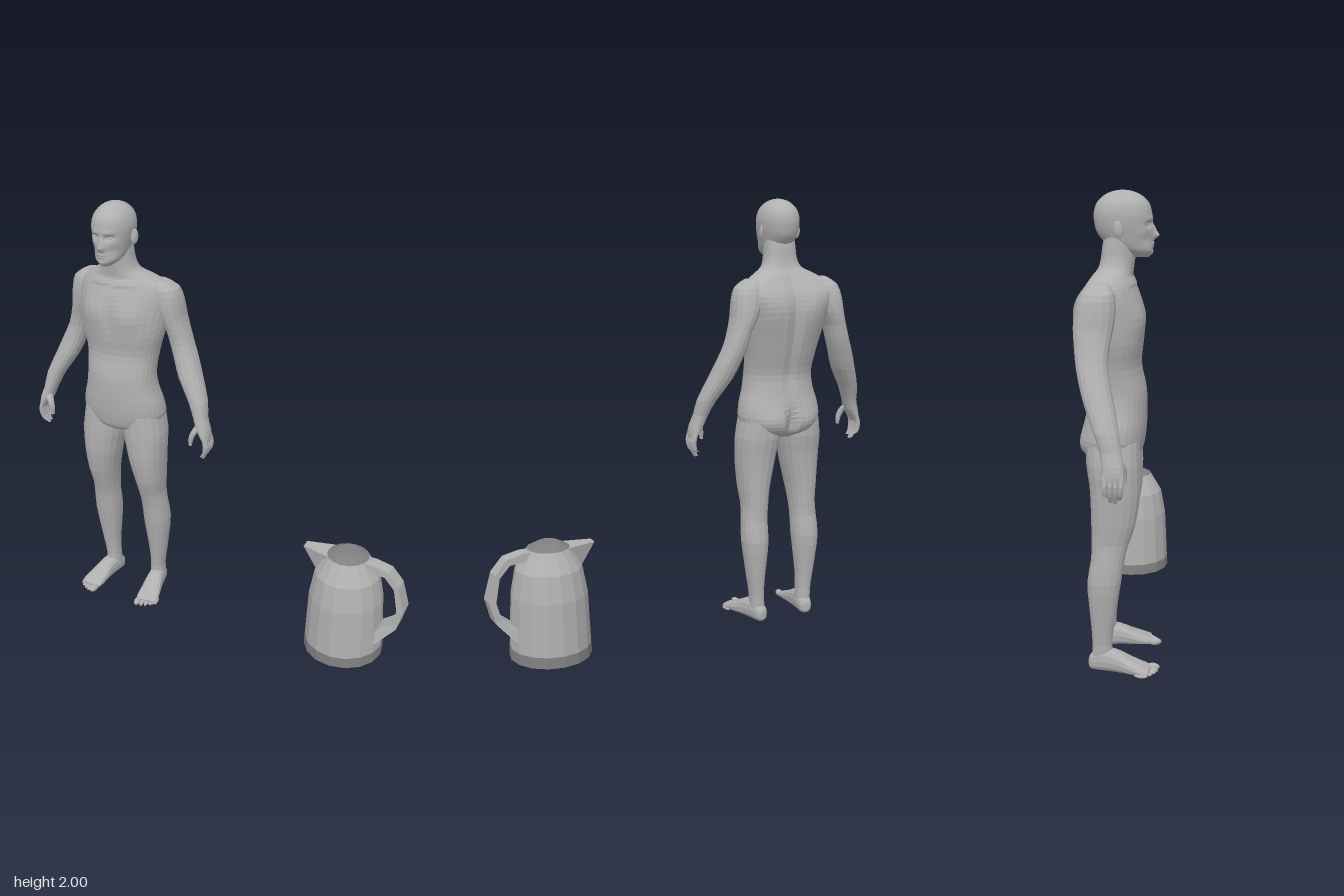
import * as THREE from 'three';
import { ConvexGeometry } from 'three/addons/geometries/ConvexGeometry.js';

const material = (name, color) => Object.assign(new THREE.MeshStandardMaterial({ color }), { name });
const skin = material('body grey', 0xb0b0b0);
const shell = material('kettle grey', 0xb0b0b0);
const trim = material('dark trim grey', 0x808080);

// Faceted mesh
function part(name, geometry, mat) {
  const g = geometry.index ? geometry.toNonIndexed() : geometry;
  g.computeVertexNormals();
  const mesh = new THREE.Mesh(g, mat);
  mesh.name = name;
  return mesh;
}

// Closed skin through sections [x, y, z, rx, rz], smoothed between them
function loft(sections, sides = 16, steps = 2, power = 2.2) {
  const s = sections[0][1] > sections.at(-1)[1] ? [...sections].reverse() : sections;
  const rows = [];
  for (let i = 0; i < s.length - 1; i++) {
    const [a, b, c, d] = [s[Math.max(i - 1, 0)], s[i], s[i + 1], s[Math.min(i + 2, s.length - 1)]];
    for (let k = 0; k < steps; k++) {
      const t = k / steps;
      rows.push(b.map((v, n) => v + 0.5 * t * (c[n] - a[n] + t * (2 * a[n] - 5 * v + 4 * c[n] - d[n]
        + t * (3 * (v - c[n]) + d[n] - a[n])))));
    }
  }
  rows.push(s.at(-1));
  const cap = r => [r[0], r[1], r[2], 0, 0];
  rows.unshift(cap(rows[0]));
  rows.push(cap(rows.at(-1)));
  const pos = [], index = [];
  const round = v => Math.sign(v) * Math.abs(v) ** (2 / power);
  rows.forEach(([x, y, z, rx, rz], i) => {
    for (let j = 0; j < sides; j++) {
      const a = (j / sides) * Math.PI * 2;
      pos.push(x + Math.max(rx, 0) * round(Math.cos(a)), y, z + Math.max(rz, 0) * round(Math.sin(a)));
      if (i === rows.length - 1) continue;
      const p = i * sides + j, q = i * sides + (j + 1) % sides;
      index.push(p, p + sides, q, q, p + sides, q + sides);
    }
  });
  const g = new THREE.BufferGeometry();
  g.setAttribute('position', new THREE.Float32BufferAttribute(pos, 3));
  g.setIndex(index);
  return g;
}

// Push the front (side 1) or back (side -1) out or in: [x, y, side, width, height, amount], mirrored in x
function sculpt(g, bumps) {
  const p = g.attributes.position;
  for (let i = 0; i < p.count; i++) {
    const x = p.getX(i), y = p.getY(i), z = p.getZ(i);
    let dz = 0;
    for (const [bx, by, side, w, h, amount] of bumps) {
      const facing = THREE.MathUtils.clamp(side * (z + 0.02) / 0.06, 0, 1);
      dz += side * amount * facing * Math.exp(-(((Math.abs(x) - bx) / w) ** 2) - ((y - by) / h) ** 2);
    }
    p.setZ(i, z + dz);
  }
  return g;
}

function ball(name, x, y, z, rx, ry, rz) {
  return part(name, new THREE.SphereGeometry(1, 12, 8).scale(rx, ry, rz).translate(x, y, z), skin);
}

function torso() {
  const g = loft([
    [0, 0.895, -0.02, 0.05, 0.06], [0, 0.93, -0.02, 0.15, 0.115], [0, 0.98, -0.018, 0.2, 0.13],
    [0, 1.05, -0.01, 0.198, 0.13], [0, 1.12, -0.002, 0.178, 0.124], [0, 1.2, 0, 0.168, 0.118],
    [0, 1.3, -0.022, 0.178, 0.12], [0, 1.4, -0.027, 0.203, 0.134], [0, 1.5, -0.03, 0.22, 0.138],
    [0, 1.57, -0.03, 0.235, 0.125], [0, 1.62, -0.025, 0.215, 0.102], [0, 1.66, -0.02, 0.155, 0.083],
    [0, 1.69, -0.008, 0.1, 0.073], [0, 1.73, 0, 0.08, 0.07], [0, 1.78, 0.005, 0.075, 0.068],
    [0, 1.84, 0.01, 0.07, 0.06]], 32, 3);
  sculpt(g, [
    [0.1, 1.49, 1, 0.07, 0.06, 0.012], [0, 1.48, 1, 0.02, 0.08, -0.008], // chest
    [0.1, 1.5, -1, 0.07, 0.1, 0.012], [0, 1.38, -1, 0.025, 0.25, -0.016], // shoulder blades, spine
    [0.09, 0.98, -1, 0.07, 0.06, 0.014], [0, 0.96, -1, 0.02, 0.07, -0.03], // seat
    [0.06, 1.64, 1, 0.05, 0.01, 0.008]]); // collar bones
  // Shoulders sweep backwards
  const p = g.attributes.position;
  for (let i = 0; i < p.count; i++) {
    p.setZ(i, p.getZ(i) - p.getX(i) ** 2 * THREE.MathUtils.smoothstep(p.getY(i), 1.35, 1.6));
  }
  return part('torso', g, skin);
}

function head() {
  const group = new THREE.Group();
  group.name = 'head';
  const g = loft([
    [0, 1.735, 0.09, 0.025, 0.035], [0, 1.76, 0.07, 0.055, 0.07], [0, 1.79, 0.045, 0.07, 0.094],
    [0, 1.83, 0.03, 0.081, 0.113], [0, 1.87, 0.022, 0.089, 0.117], [0, 1.91, 0.02, 0.091, 0.117],
    [0, 1.95, 0.02, 0.08, 0.104], [0, 1.98, 0.02, 0.055, 0.072], [0, 1.995, 0.02, 0.027, 0.036],
    [0, 2, 0.02, 0.002, 0.002]], 48, 5, 2.1);
  sculpt(g, [
    [0, 1.82, 1, 0.014, 0.014, 0.022], [0, 1.845, 1, 0.01, 0.02, 0.011], // nose
    [0.035, 1.865, 1, 0.018, 0.012, -0.014], [0.03, 1.888, 1, 0.025, 0.009, 0.005], // eye sockets, brows
    [0, 1.79, 1, 0.024, 0.006, 0.008], [0, 1.779, 1, 0.02, 0.005, 0.006], // lips
    [0, 1.75, 1, 0.02, 0.01, 0.006], [0.05, 1.81, 1, 0.02, 0.02, -0.006]]); // chin, cheeks
  group.add(part('skull', g, skin));
  for (const s of [1, -1]) {
    group.add(ball('eye', s * 0.034, 1.865, 0.109, 0.014, 0.011, 0.014));
    const ear = ball('ear', 0, 0, 0, 0.009, 0.034, 0.02);
    ear.position.set(s * 0.094, 1.85, 0.008);
    ear.rotation.set(-0.15, -s * 0.35, 0);
    group.add(ear);
  }
  return group;
}

function arm(s) {
  const group = new THREE.Group();
  group.name = s > 0 ? 'leftArm' : 'rightArm';
  const limb = (name, rows, sides, steps) =>
    group.add(part(name, loft(rows.map(([x, ...r]) => [s * x, ...r]), sides, steps), skin));
  limb('armAndPalm', [
    [0.18, 1.645, -0.06, 0.03, 0.035], [0.2, 1.61, -0.068, 0.063, 0.066], [0.212, 1.55, -0.075, 0.069, 0.08],
    [0.23, 1.48, -0.082, 0.058, 0.08], [0.252, 1.42, -0.086, 0.05, 0.071], [0.273, 1.35, -0.086, 0.052, 0.064],
    [0.3, 1.28, -0.074, 0.055, 0.062], [0.333, 1.2, -0.053, 0.055, 0.06], [0.385, 1.1, -0.023, 0.043, 0.05],
    [0.407, 1.03, -0.004, 0.032, 0.042], [0.425, 0.98, 0.005, 0.03, 0.043], [0.441, 0.94, 0.007, 0.019, 0.043],
    [0.446, 0.92, 0.006, 0.012, 0.036]], 16, 2);
  [0.845, 0.83, 0.836, 0.858].forEach((tip, i) => {
    const z = 0.038 - i * 0.021;
    limb('finger', [[0.442, 0.945, z, 0.011, 0.011], [0.451, 0.905, z, 0.012, 0.011],
      [0.443, 0.865, z * 0.9, 0.01, 0.01], [0.427, tip, z * 0.8, 0.007, 0.007]], 8, 2);
  });
  limb('thumb', [[0.412, 1.0, 0.02, 0.018, 0.018], [0.392, 0.965, 0.04, 0.016, 0.016],
    [0.38, 0.93, 0.046, 0.012, 0.012], [0.378, 0.9, 0.046, 0.007, 0.008]], 8, 2);
  return group;
}

function leg(s) {
  const group = new THREE.Group();
  group.name = s > 0 ? 'leftLeg' : 'rightLeg';
  const rows = [
    [0.105, 1.0, -0.015, 0.09, 0.11], [0.11, 0.9, -0.012, 0.102, 0.112], [0.117, 0.82, -0.006, 0.094, 0.106],
    [0.122, 0.75, -0.005, 0.085, 0.102], [0.129, 0.65, -0.012, 0.07, 0.092], [0.13, 0.57, -0.025, 0.06, 0.079],
    [0.135, 0.5, -0.035, 0.06, 0.07], [0.138, 0.4, -0.05, 0.063, 0.071], [0.137, 0.3, -0.055, 0.053, 0.06],
    [0.135, 0.2, -0.058, 0.041, 0.048], [0.13, 0.12, -0.06, 0.034, 0.042], [0.128, 0.05, -0.06, 0.036, 0.045]];
  group.add(part('thighAndCalf', loft(rows.map(([x, ...r]) => [s * x, ...r]), 18, 2), skin));
  // Foot runs forward from the ankle: [x, along, -height, half width, half height]
  const foot = new THREE.Group();
  foot.name = 'foot';
  const sole = loft([
    [0, -0.057, -0.035, 0.015, 0.018], [0, -0.045, -0.038, 0.03, 0.036], [0, 0, -0.05, 0.037, 0.05],
    [0, 0.06, -0.047, 0.042, 0.047], [0, 0.12, -0.032, 0.05, 0.032], [0, 0.175, -0.02, 0.055, 0.02],
    [0, 0.205, -0.015, 0.047, 0.013]], 14, 2, 2.5).rotateX(Math.PI / 2);
  foot.add(part('sole', sole, skin));
  for (let i = 0; i < 5; i++) {
    const r = i ? 0.0115 - i * 0.0006 : 0.016;
    foot.add(ball('toe', s * (i ? -0.038 + i * 0.0215 : -0.04), r, 0.211 - i * i * 0.0022, r, r, 0.029));
  }
  foot.position.set(s * 0.13, 0, -0.06);
  foot.rotation.y = s * 0.17;
  group.add(foot);
  return group;
}

function kettle() {
  const group = new THREE.Group();
  group.name = 'kettle';
  const turned = (name, profile, mat) => group.add(part(name,
    new THREE.LatheGeometry(profile.map(([r, y]) => new THREE.Vector2(r, y)), 16).translate(0.664, 0, 0), mat));
  turned('base', [[0, 0], [0.186, 0], [0.183, 0.05]], trim);
  turned('jug', [[0.183, 0.05], [0.172, 0.29], [0.15, 0.41], [0.096, 0.5]], shell);
  turned('lid', [[0.096, 0.5], [0.05, 0.524], [0, 0.524]], trim);
  // Spout wedge
  const corners = [];
  for (const s of [1, -1]) {
    for (const [x, y, z] of [[0.453, 0.5, 0.024], [0.58, 0.498, 0.055], [0.515, 0.4, 0.022], [0.58, 0.4, 0.03]]) {
      corners.push(new THREE.Vector3(x, y, s * z));
    }
  }
  group.add(part('spout', new ConvexGeometry(corners), shell));
  // Handle, flaring towards its foot
  const outline = [[0.75, 0.495], [0.79, 0.495], [0.867, 0.477], [0.92, 0.414], [0.952, 0.292], [0.926, 0.196],
    [0.838, 0.1], [0.81, 0.1], [0.81, 0.165], [0.835, 0.165], [0.9, 0.217], [0.92, 0.292], [0.9, 0.398],
    [0.852, 0.45], [0.75, 0.462]].map(([x, y]) => new THREE.Vector2(x, y));
  const g = new THREE.ExtrudeGeometry(new THREE.Shape(outline), { depth: 1, bevelEnabled: false });
  const p = g.attributes.position;
  for (let i = 0; i < p.count; i++) {
    const y = p.getY(i);
    const half = y < 0.196 ? 0.068 - (y - 0.1) * 0.24 : 0.045 - (y - 0.196) * 0.04;
    p.setZ(i, (p.getZ(i) * 2 - 1) * half);
  }
  group.add(part('handle', g, shell));
  return group;
}

export function createModel() {
  const model = new THREE.Group();
  const person = new THREE.Group();
  person.name = 'person';
  person.position.x = -0.496;
  person.add(torso(), head(), arm(1), arm(-1), leg(1), leg(-1));
  model.add(person, kettle());
  return model;
}
